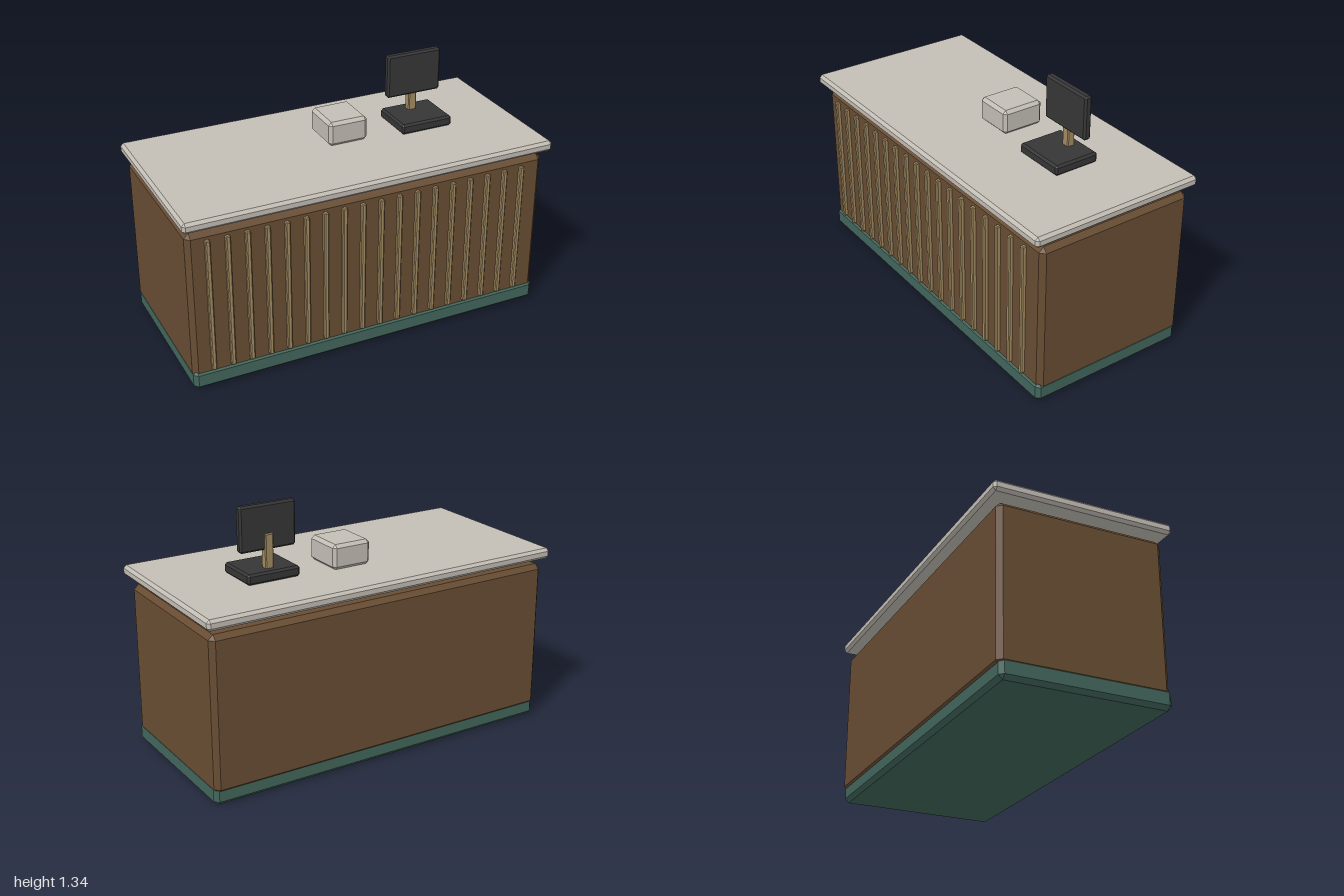
import * as THREE from 'three';
import { ConvexGeometry } from 'three/addons/geometries/ConvexGeometry.js';

const paint = (name, color) => {
  const m = new THREE.MeshStandardMaterial({ color });
  m.name = name;
  return m;
};

// Box between two corners with every edge chamfered by b
function chamferBox([x0, y0, z0], [x1, y1, z1], b) {
  const h = [(x1 - x0) / 2, (y1 - y0) / 2, (z1 - z0) / 2];
  const points = [];
  for (const sx of [-1, 1]) for (const sy of [-1, 1]) for (const sz of [-1, 1])
    for (let axis = 0; axis < 3; axis++) {
      const [px, py, pz] = h.map((v, i) => (i === axis ? v : v - b));
      points.push(new THREE.Vector3(sx * px, sy * py, sz * pz));
    }
  return new ConvexGeometry(points).translate((x0 + x1) / 2, (y0 + y1) / 2, (z0 + z1) / 2);
}

export function createModel() {
  const wood = paint('brown wood', 0x684d33);
  const slatWood = paint('pale wood', 0xa28b61);
  const stone = paint('pale stone', 0xc3beb5);
  const green = paint('dark green', 0x42665b);
  const dark = paint('charcoal', 0x363636);

  const model = new THREE.Group();
  model.name = 'serviceCounter';
  const add = (parent, name, material, min, max, bevel) => {
    const mesh = new THREE.Mesh(chamferBox(min, max, bevel), material);
    mesh.name = name;
    parent.add(mesh);
  };

  // Counter
  add(model, 'plinth', green, [-0.975, 0, -0.435], [0.975, 0.105, 0.435], 0.021);
  add(model, 'body', wood, [-0.975, 0.063, -0.445], [0.975, 0.87, 0.426], 0.025);
  add(model, 'countertop', stone, [-1, 0.905, -0.475], [1, 0.961, 0.475], 0.015);

  // Front slats
  const slats = new THREE.Group();
  slats.name = 'frontSlats';
  model.add(slats);
  for (let i = 0; i < 18; i++) {
    const x = -0.872 + i * 0.101;
    add(slats, 'slat', slatWood, [x - 0.012, 0.103, 0.405], [x + 0.012, 0.831, 0.446], 0.005);
  }

  // Small box on the counter
  add(model, 'counterBox', stone, [-0.06, 0.96, -0.186], [0.156, 1.091, 0.046], 0.017);

  // Till screen on its stand
  const till = new THREE.Group();
  till.name = 'till';
  model.add(till);
  add(till, 'tillBase', dark, [0.337, 0.962, -0.166], [0.627, 1.017, 0.085], 0.011);
  add(till, 'tillPost', slatWood, [0.459, 1.0, -0.12], [0.504, 1.191, -0.078], 0.005);
  add(till, 'tillScreen', dark, [0.328, 1.108, -0.111], [0.636, 1.34, -0.069], 0.01);

  return model;
}
